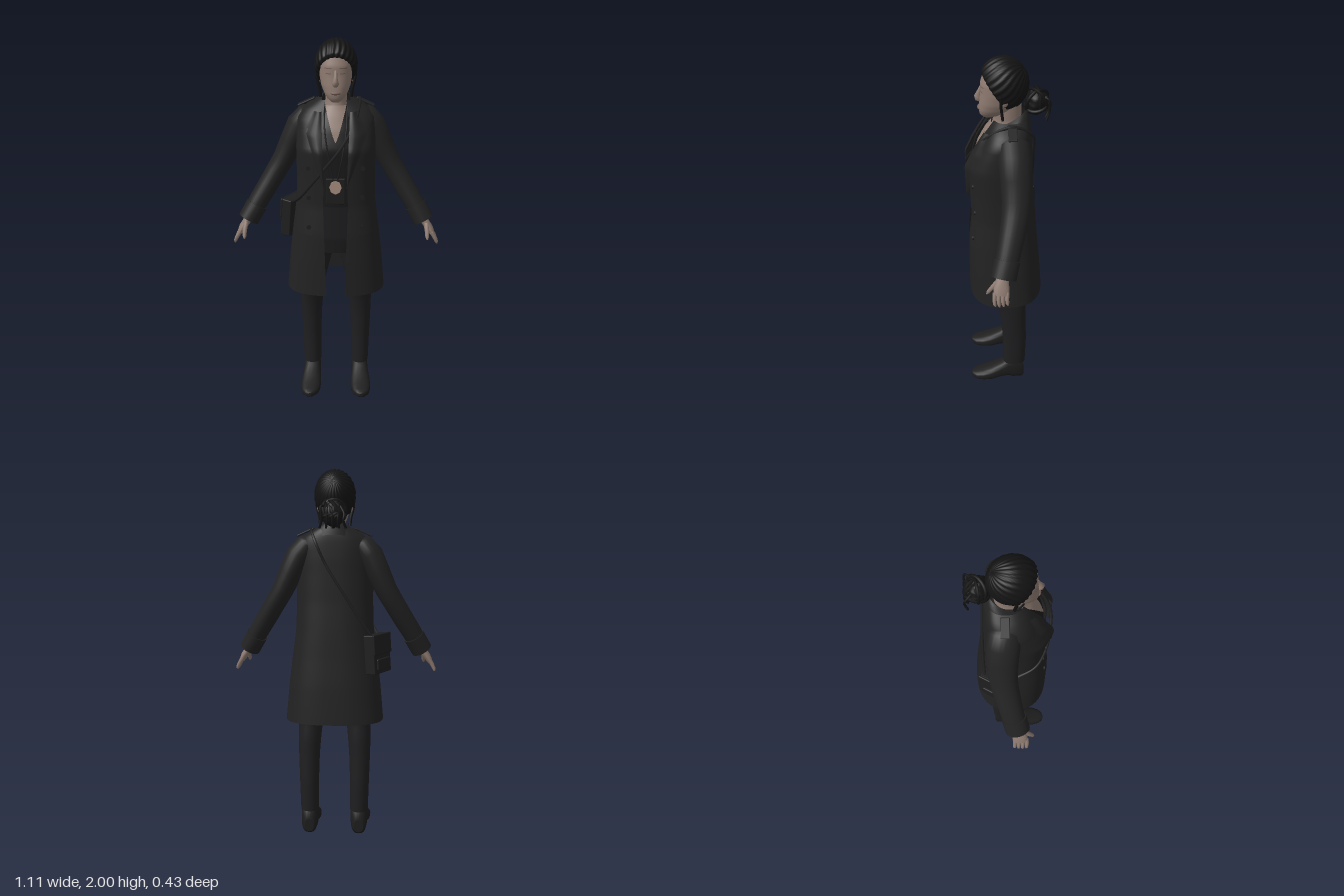
import * as THREE from 'three';
import { RoundedBoxGeometry } from 'three/addons/geometries/RoundedBoxGeometry.js';

const mat = (name, color, side = THREE.FrontSide) => {
  const m = new THREE.MeshStandardMaterial({ color, side });
  m.name = name;
  return m;
};

// Surface through rows of points; closed rows wrap round, caps fill the ends.
function loft(rows, closed = true, caps = closed) {
  const n = rows[0].length, pos = rows.flat(2), idx = [];
  for (let i = 0; i < rows.length - 1; i++)
    for (let j = 0; j < (closed ? n : n - 1); j++) {
      const k = (j + 1) % n, a = i * n + j, b = i * n + k, c = b + n, d = a + n;
      idx.push(a, b, c, a, c, d);
    }
  if (caps) [rows[0], rows[rows.length - 1]].forEach((row, end) => {
    const base = pos.length / 3;
    row.forEach(p => pos.push(...p));
    pos.push(...[0, 1, 2].map(k => row.reduce((s, p) => s + p[k], 0) / n));
    for (let j = 0; j < n; j++) {
      const k = (j + 1) % n;
      idx.push(base + n, base + (end ? j : k), base + (end ? k : j));
    }
  });
  const g = new THREE.BufferGeometry();
  g.setAttribute('position', new THREE.Float32BufferAttribute(pos, 3));
  g.setIndex(idx);
  g.computeVertexNormals();
  return g;
}

// Linear lookup in a table sorted by its first column.
function at(table, y) {
  let i = 0;
  while (i < table.length - 2 && table[i + 1][0] < y) i++;
  const t = THREE.MathUtils.clamp((y - table[i][0]) / (table[i + 1][0] - table[i][0]), 0, 1);
  return table[i].map((v, k) => THREE.MathUtils.lerp(v, table[i + 1][k], t));
}
const pw = (v, e) => Math.sign(v) * Math.abs(v) ** e;

// Horizontal superellipse rings; row = [y, halfWidth, zFront, zBack, centreX, frontGap].
function stack(table, n = 2.3, rowsN = 24, seg = 32, open = false) {
  const rows = [], y0 = table[0][0], y1 = table[table.length - 1][0];
  for (let i = 0; i <= rowsN; i++) {
    const [y, w, f, b, cx = 0, gap = 0] = at(table, y0 + (y1 - y0) * i / rowsN);
    const a = open ? Math.asin((gap / w) ** (n / 2)) : 0;
    const row = [];
    for (let j = 0; j < (open ? seg + 1 : seg); j++) {
      const t = a + (2 * Math.PI - 2 * a) * j / seg;
      row.push([cx + w * pw(Math.sin(t), 2 / n), y, (f + b) / 2 + (f - b) / 2 * pw(Math.cos(t), 2 / n)]);
    }
    rows.push(row);
  }
  return loft(rows, !open);
}

// Front depth of a stacked surface at (x, y).
function frontZ(table, n, x, y) {
  const [, w, f, b] = at(table, y);
  return (f + b) / 2 + (f - b) / 2 * Math.max(0, 1 - Math.abs(x / w) ** n) ** (1 / n);
}

// Grid patch from a rule (u, v) -> point.
function patch(fn, nu = 8, nv = 12) {
  return loft(Array.from({ length: nv + 1 }, (_, i) =>
    Array.from({ length: nu + 1 }, (_, j) => fn(j / nu, i / nv))), false);
}

// Rounded limb; stations = [x, y, z, radius toward z, radius across].
function limb(st, seg = 18) {
  const P = st.map(s => new THREE.Vector3(...s));
  return loft(st.map((s, i) => {
    const T = P[Math.min(i + 1, P.length - 1)].clone().sub(P[Math.max(i - 1, 0)]).normalize();
    const e1 = new THREE.Vector3(0, 0, 1).addScaledVector(T, -T.z).normalize();
    const e2 = T.clone().cross(e1);
    return Array.from({ length: seg }, (_, j) => {
      const t = j / seg * 2 * Math.PI;
      return P[i].clone().addScaledVector(e1, s[3] * Math.cos(t)).addScaledVector(e2, s[4] * Math.sin(t)).toArray();
    });
  }));
}
const cord = (pts, r, n = 40) => new THREE.TubeGeometry(
  new THREE.CatmullRomCurve3(pts.map(p => new THREE.Vector3(...p))), n, r, 6);

const COAT = [[.65, .268, .213, -.19, 0, .05], [.85, .25, .213, -.175, 0, .055], [1, .232, .21, -.16, 0, .06],
  [1.15, .212, .195, -.148, 0, .065], [1.3, .207, .2, -.135, 0, .06], [1.45, .208, .207, -.128, 0, .07],
  [1.53, .205, .17, -.125, 0, .075], [1.6, .2, .13, -.12, 0, .07], [1.65, .165, .1, -.115, 0, .06], [1.69, .1, .075, -.105, 0, .055]];
const SHIRT = [[1.14, .165, .155, -.1], [1.3, .17, .165, -.1], [1.45, .18, .172, -.1], [1.55, .15, .138, -.1], [1.62, .1, .1, -.09], [1.66, .07, .07, -.08]];
const LEG = [[.13, .05, .03, -.1, .138], [.3, .053, .03, -.105, .14], [.45, .058, .04, -.1, .14], [.55, .063, .055, -.1, .137],
  [.65, .068, .085, -.09, .132], [.8, .078, .1, -.1, .105], [.9, .085, .11, -.11, .088], [1, .085, .11, -.11, .085]];
const HEAD = [[1.688, .02, .122, .06], [1.705, .042, .137, .01], [1.73, .06, .142, -.03], [1.77, .076, .139, -.06],
  [1.82, .085, .133, -.08], [1.87, .087, .132, -.085], [1.92, .078, .115, -.08], [1.96, .05, .08, -.05], [1.975, .015, .04, -.01]];

export function createModel() {
  const D = THREE.DoubleSide;
  const coat = mat('coat cloth', 0x222223, D), trousers = mat('trouser cloth', 0x1f1f21), shirt = mat('shirt cloth', 0x1a1a1c);
  const hair = mat('hair', 0x131314, D), skin = mat('skin', 0x8d7a70), shoe = mat('shoe leather', 0x1d1d1d);
  const bag = mat('bag leather', 0x1e1e1f), metal = mat('badge metal', 0xa58c7c), lip = mat('lips', 0x77605a);
  const model = new THREE.Group();
  const add = (name, geo, m, pos) => {
    const mesh = new THREE.Mesh(geo, m);
    mesh.name = name;
    if (pos) mesh.position.set(...pos);
    model.add(mesh);
    return mesh;
  };
  const drape = (name, table, n, x0, x1, y0, y1, off, m) => add(name, patch((u, v) => {
    const x = x0 + (x1 - x0) * u, y = y0 + (y1 - y0) * v;
    return [x, y, frontZ(table, n, x, y) + off];
  }), m);

  // Body and clothes
  add('coat', stack(COAT, 2.6, 44, 56, true), coat);
  add('shirt', stack(SHIRT, 2.3), shirt);
  add('hips', stack([[.86, .13, .11, -.11], [.95, .168, .13, -.12], [1.17, .165, .145, -.11]], 2.4), trousers);
  add('neck', stack([[1.52, .085, .1, -.07], [1.62, .065, .085, -.075], [1.68, .056, .07, -.07], [1.76, .056, .07, -.07]], 2), skin);
  add('chest', patch((u, v) => {
    const y = 1.49 + .175 * v, x = (u * 2 - 1) * .055 * v ** .8;
    return [x, y, frontZ(SHIRT, 2.3, x, y) + .012];
  }), skin);
  add('collar', patch((u, v) => {
    const t = .6 + (2 * Math.PI - 1.2) * u, c = Math.cos(t);
    const drop = .1 * (.5 + .5 * c), roll = Math.sin(v * Math.PI) * .012;
    return [(.16 - .085 * v) * Math.sin(t), 1.655 + .075 * v - drop + roll,
      c * (c > 0 ? .178 - .08 * v : .12 - .025 * v)];
  }, 36, 6), coat);

  for (const s of [1, -1]) {
    const side = s > 0 ? 'left' : 'right';
    add(side + 'Leg', stack(LEG.map(r => [...r.slice(0, 4), s * r[4]]), 2.2, 24, 24), trousers);

    // Shoe, cross-sections from heel to toe: [z, halfWidth, bottom, top]
    const shoeRows = [[-.092, .025, .01, .08], [-.082, .043, 0, .15], [-.03, .048, 0, .16], [0, .048, .012, .15], [.04, .05, .01, .118],
      [.1, .057, 0, .085], [.15, .056, .002, .066], [.19, .045, .007, .054], [.212, .026, .013, .047], [.219, .008, .02, .04]];
    add(side + 'Shoe', loft(shoeRows.map(([z, w, b, t]) => Array.from({ length: 20 }, (_, j) => {
      const a = j / 20 * 2 * Math.PI;
      return [s * (.138 + .04 * Math.max(0, z)) + w * pw(Math.cos(a), .75), (b + t) / 2 + (t - b) / 2 * pw(Math.sin(a), .75), z];
    }))), shoe);

    // Sleeve and cuff
    add(side + 'Sleeve', limb([[.12, 1.6, -.02, .06, .05], [.15, 1.595, -.025, .08, .064], [.19, 1.545, -.03, .085, .071], [.235, 1.455, -.035, .08, .064],
      [.28, 1.36, -.035, .074, .058], [.325, 1.285, -.025, .069, .056], [.37, 1.21, -.008, .065, .055], [.42, 1.13, .012, .061, .053],
      [.468, 1.045, .034, .058, .05]].map(([x, ...r]) => [s * x, ...r]), 24), coat);
    add(side + 'Cuff', limb([[.43, 1.11, .018, .066, .058], [.476, 1.03, .038, .065, .057]].map(([x, ...r]) => [s * x, ...r]), 24), coat);

    // Hand
    add(side + 'Palm', limb([[.465, 1.06, .04, .028, .02], [.487, 1.02, .046, .033, .021], [.508, .99, .05, .04, .02], [.525, .96, .052, .038, .014]]
      .map(([x, ...r]) => [s * x, ...r])), skin);
    for (let f = 0; f < 4; f++) {
      const z = .022 + f * .021, L = [.8, .95, 1, .9][f];
      add(side + 'Finger', limb([[.518, .975, z, .011, .011], [.536, .945, z + .002, .0105, .0105], [.536 + .012 * L, .945 - .025 * L, z, .009, .009],
        [.536 + .014 * L, .945 - .038 * L, z - .003, .004, .004]].map(([x, ...r]) => [s * x, ...r]), 8), skin);
    }
    add(side + 'Thumb', limb([[.488, 1.02, .07, .014, .014], [.492, .985, .098, .012, .012], [.492, .96, .116, .01, .01], [.493, .947, .124, .004, .004]]
      .map(([x, ...r]) => [s * x, ...r]), 8), skin);

    // Lapel, front buttons, pocket flap, shoulder tab
    add(side + 'Lapel', patch((u, v) => {
      const y = 1.26 + .38 * v, wide = v < .72 ? .1 * v / .72 : .1 - .06 * (v - .72) / .28;
      const x = .058 + .015 * v + wide * u;
      return [s * x, y, frontZ(COAT, 2.6, x, y) + .006 + .014 * Math.sin(Math.PI * Math.min(u + .15, 1))];
    }, 6, 25), coat);
    for (const y of [1.36, 1.2, 1.04]) {
      const b = add(side + 'Button', new THREE.CylinderGeometry(.012, .012, .008, 14), bag, [s * .14, y, frontZ(COAT, 2.6, .14, y) + .004]);
      b.rotation.x = Math.PI / 2;
    }
    drape(side + 'PocketFlap', COAT, 2.6, s * .16 - .035, s * .16 + .035, .98, 1.02, .007, coat);
    const tab = add(side + 'ShoulderTab', new RoundedBoxGeometry(.1, .01, .045, 2, .004), coat, [s * .155, 1.668, -.02]);
    tab.rotation.z = -s * .42;

    // Eyes, brows and ears
    drape(side + 'Eye', HEAD, 2.3, s * .036 - .014, s * .036 + .014, 1.832, 1.837, .003, lip);
    drape(side + 'Brow', HEAD, 2.3, s * .038 - .018, s * .038 + .018, 1.858, 1.863, .003, lip);
    add(side + 'Ear', new THREE.SphereGeometry(1, 12, 10), skin, [s * .086, 1.805, .015]).scale.set(.011, .032, .018);
  }
  drape('stormFlap', COAT, 2.6, -.195, -.09, 1.4, 1.56, .008, coat);

  // Head
  add('head', stack(HEAD, 2.3, 32, 36), skin);
  add('nose', limb([[0, 1.775, .134, .01, .013], [0, 1.785, .142, .018, .018], [0, 1.797, .146, .017, .014], [0, 1.82, .137, .012, .009], [0, 1.85, .128, .006, .008]], 12), skin);
  add('mouth', new THREE.SphereGeometry(1, 14, 8), lip, [0, 1.738, .138]).scale.set(.026, .009, .011);

  // Hair swept back in ridges toward the bun
  const tilt = new THREE.Vector3(1, 0, 0);
  add('hairCap', loft(Array.from({ length: 29 }, (_, i) => Array.from({ length: 120 }, (_, j) => {
    const a = j / 120 * 2 * Math.PI, p = .01 + 2.04 * (1 - i / 28);
    const d = new THREE.Vector3(Math.sin(p) * Math.sin(a), Math.cos(p), Math.sin(p) * Math.cos(a)).applyAxisAngle(tilt, -.93);
    const k = 1 + .022 * Math.sin(a * 24 + 2 * Math.sin(p * 3)) * Math.sin(p) - (i === 0 ? .08 : 0);
    return [d.x * .109 * k, 1.862 + d.y * .135 * k, .018 + d.z * .124 * k];
  }))), hair);
  const bun = new THREE.SphereGeometry(1, 36, 24), bp = bun.attributes.position, v = new THREE.Vector3();
  for (let i = 0; i < bp.count; i++) {
    v.fromBufferAttribute(bp, i);
    v.multiplyScalar(1 + .07 * Math.sin(9 * v.x + 5 * v.y) * Math.cos(8 * v.y + 3 * v.z));
    bp.setXYZ(i, v.x * .062, v.y * .068, v.z * .052);
  }
  bun.computeVertexNormals();
  add('bun', bun, hair, [0, 1.765, -.142]);
  for (let i = 0; i < 12; i++) {
    const loop = add('bunStrand', new THREE.TorusGeometry(.05 + .004 * (i % 4), .0085, 6, 22), hair,
      [.012 * Math.sin(i * 2.3), 1.762 + .014 * Math.cos(i * 1.7), -.148]);
    loop.rotation.set(i * .9, i * 1.37, i * .5);
  }
  for (let i = -2; i <= 2; i++)
    add('looseStrand', cord([[i * .02, 1.8, -.17], [i * .03, 1.78 + .01 * i, -.2], [i * .028, 1.73, -.205], [i * .034, 1.69, -.19]], .006, 12), hair);
  for (const s of [1, -1])
    add('sideStrand', cord([[s * .1, 1.87, .03], [s * .097, 1.8, .035], [s * .083, 1.74, .03], [s * .08, 1.7, .025]], .008, 14), hair);

  // Badge on a neck cord
  const bz = frontZ(SHIRT, 2.3, 0, 1.25) + .012;
  add('badgeHolder', new RoundedBoxGeometry(.1, .14, .012, 2, .005), bag, [0, 1.235, bz]);
  const badge = add('badge', new THREE.CylinderGeometry(.032, .032, .008, 8), metal, [0, 1.258, bz + .008]);
  badge.rotation.x = Math.PI / 2;
  badge.scale.z = 1.15;
  for (const s of [1, -1])
    add('badgeCord', cord([[s * .06, 1.66, .085], [s * .055, 1.55, .155], [s * .035, 1.42, .186], [s * .012, 1.3, bz + .004]], .004), bag);

  // Shoulder bag and strap
  const pouch = new THREE.Group();
  pouch.name = 'shoulderBag';
  [[[.06, .21, .18], [0, 0, 0]], [[.014, .11, .186], [-.031, .052, 0]], [[.02, .06, .13], [-.03, -.055, 0]]].forEach(([d, p]) => {
    const m = new THREE.Mesh(new RoundedBoxGeometry(...d, 3, .006), bag);
    m.name = 'bagPanel';
    m.position.set(...p);
    pouch.add(m);
  });
  pouch.position.set(-.234, 1.025, -.07);
  pouch.rotation.set(0, -.5, -.08);
  model.add(pouch);
  const front = [[-.185, 1.19], [-.12, 1.28], [-.05, 1.37], [.02, 1.46], [.08, 1.55], [.11, 1.62]].map(([x, y]) => [x, y, frontZ(COAT, 2.6, x, y) + .004]);
  add('bagStrap', cord([[-.232, 1.12, .01], ...front, [.125, 1.685, -.02], [.1, 1.63, -.118], [.04, 1.5, -.13], [-.06, 1.34, -.136],
    [-.15, 1.2, -.136], [-.205, 1.12, -.13]], .008, 90), bag);

  return model;
}
